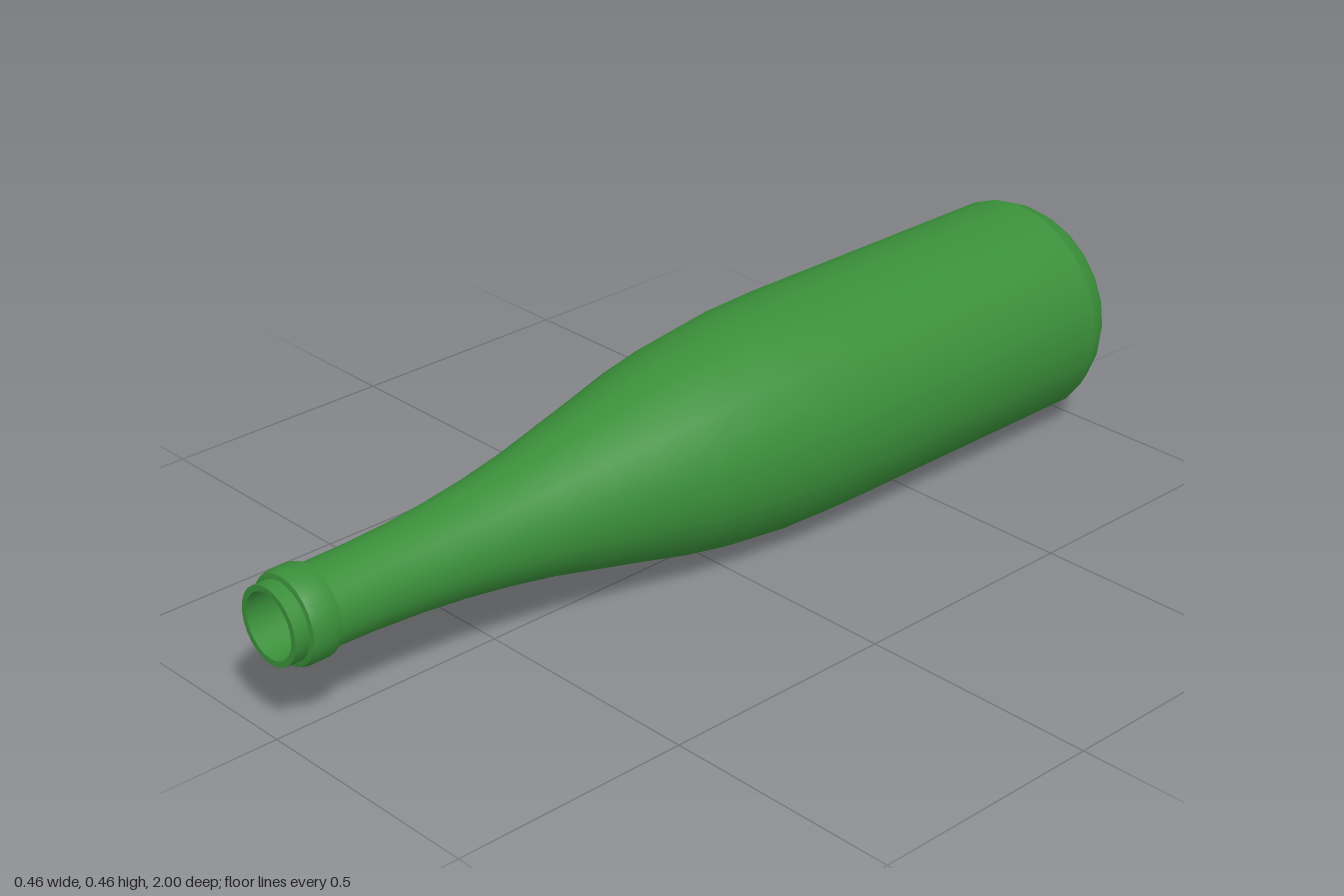
import * as THREE from 'three';
import { toCreasedNormals } from 'three/addons/utils/BufferGeometryUtils.js';

const SIDES = 24;
const RADIUS = 0.23;

export function createModel() {
  const bottle = new THREE.Group();
  bottle.name = 'bottle';
  const glass = new THREE.MeshStandardMaterial({ color: 0x3a8f3a, side: THREE.DoubleSide });

  // Turns a [radius, z] profile around the bottle's lying axis
  function turned(name, profile) {
    const points = profile.map(([r, z]) => new THREE.Vector2(r, z));
    const geometry = new THREE.LatheGeometry(points, SIDES).rotateX(Math.PI / 2);
    const mesh = new THREE.Mesh(toCreasedNormals(geometry, 0.5), glass);
    mesh.name = name;
    mesh.position.y = RADIUS;
    bottle.add(mesh);
  }

  // Base with a shallow hollow and a bevelled rim
  turned('base', [
    [0, -0.97], [0.1, -0.975], [0.16, -0.99], [0.185, -1],
    [0.2, -0.998], [0.216, -0.975], [RADIUS, -0.94],
  ]);

  // Straight body, long shoulder and neck
  turned('body', [
    [RADIUS, -0.94], [RADIUS, -0.28], [0.226, -0.15], [0.21, 0],
    [0.193, 0.1], [0.17, 0.2], [0.148, 0.3], [0.126, 0.4], [0.109, 0.5],
    [0.096, 0.6], [0.087, 0.7], [0.082, 0.8], [0.08, 0.91],
  ]);

  // Raised ring around the neck
  turned('collar', [
    [0.08, 0.905], [0.088, 0.908], [0.091, 0.92], [0.091, 0.955], [0.087, 0.968], [0.077, 0.97],
  ]);

  // Lip and the bore running down the neck
  turned('mouth', [
    [0.077, 0.97], [0.077, 1], [0.065, 1], [0.063, 0.75], [0, 0.75],
  ]);

  return bottle;
}
